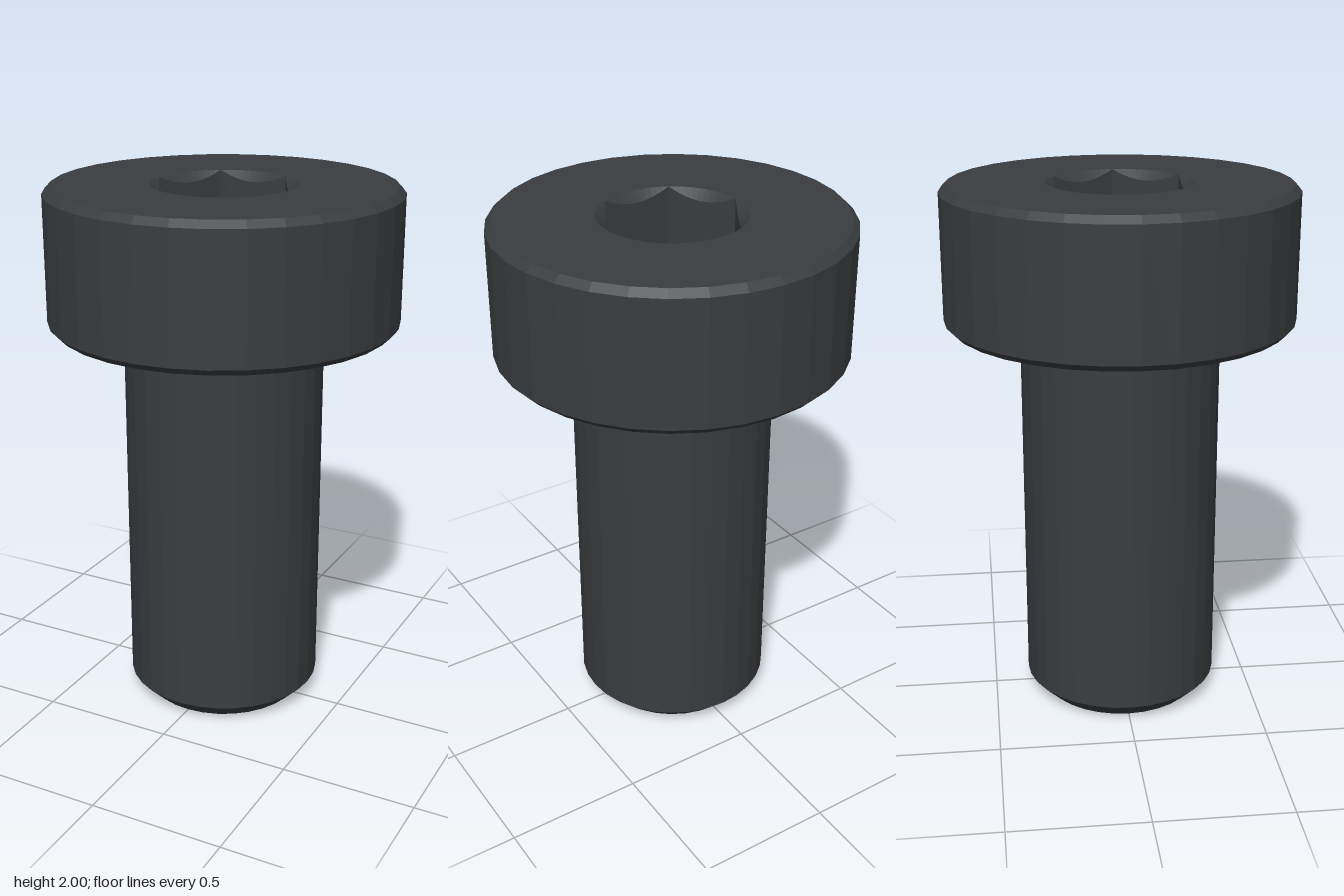
import * as THREE from 'three';

const SEGMENTS = 32;
const HEAD_R = 0.647, HEAD_Y = 1.485, TOP_Y = 2, BEVEL = 0.025;
const SHANK_R = 0.37, TIP_CHAMFER = 0.065, FILLET = 0.035;
const SOCKET_R = 0.267, SOCKET_FLOOR = 1.58;

const steel = new THREE.MeshStandardMaterial({ color: 0x3a3d40, flatShading: true });

function addMesh(group, name, geometry) {
  const flat = geometry.index ? geometry.toNonIndexed() : geometry;
  flat.computeVertexNormals();
  const mesh = new THREE.Mesh(flat, steel);
  mesh.name = name;
  group.add(mesh);
}

const lathe = (points, segments = SEGMENTS) =>
  new THREE.LatheGeometry(points.map(([r, y]) => new THREE.Vector2(r, y)), segments);

// Points of a circle, starting on +x
const circle = (r, n) => Array.from({ length: n }, (_, i) => {
  const a = (i / n) * Math.PI * 2;
  return new THREE.Vector2(r * Math.cos(a), r * Math.sin(a));
});

// Radius of the hexagon at an angle measured from one of its corners
function hexRadius(angle) {
  const side = Math.PI / 3;
  const a = ((angle % side) + side) % side;
  return SOCKET_R * Math.cos(side / 2) / Math.cos(a - side / 2);
}

// Hexagonal hole with a conical countersink that fades out at the corners
function socketGeometry() {
  const geometry = lathe([
    [SOCKET_R, TOP_Y], [SOCKET_R, TOP_Y - 0.01], [SOCKET_R, SOCKET_FLOOR], [0, SOCKET_FLOOR],
  ], 72);
  const p = geometry.attributes.position;
  for (let i = 0; i < p.count; i++) {
    const ring = i % 4;
    if (ring !== 1 && ring !== 2) continue;
    const angle = Math.atan2(p.getZ(i), p.getX(i));
    const r = hexRadius(angle);
    const y = ring === 1 ? TOP_Y - 0.95 * (SOCKET_R - r) : SOCKET_FLOOR;
    p.setXYZ(i, r * Math.cos(angle), y, r * Math.sin(angle));
  }
  return geometry;
}

export function createModel() {
  const bolt = new THREE.Group();
  bolt.name = 'socketHeadBolt';

  // Shank with chamfered tip and a fillet under the head
  const fillet = Array.from({ length: 6 }, (_, i) => {
    const a = (i / 5) * Math.PI / 2;
    return [SHANK_R + FILLET * (1 - Math.cos(a)), HEAD_Y - FILLET * (1 - Math.sin(a))];
  });
  addMesh(bolt, 'shank', lathe([
    [0, 0], [SHANK_R - TIP_CHAMFER, 0], [SHANK_R, TIP_CHAMFER], ...fillet,
  ]));

  // Head underside, wall and bevels
  addMesh(bolt, 'head', lathe([
    [SHANK_R + FILLET, HEAD_Y], [HEAD_R - BEVEL, HEAD_Y], [HEAD_R, HEAD_Y + BEVEL],
    [HEAD_R, TOP_Y - BEVEL], [HEAD_R - BEVEL, TOP_Y],
  ]));

  // Flat top face around the socket
  const face = new THREE.Shape(circle(HEAD_R - BEVEL, SEGMENTS));
  face.holes.push(new THREE.Path(circle(SOCKET_R, 72)));
  addMesh(bolt, 'headTop',
    new THREE.ShapeGeometry(face).rotateX(-Math.PI / 2).translate(0, TOP_Y, 0));

  addMesh(bolt, 'hexSocket', socketGeometry());
  return bolt;
}
